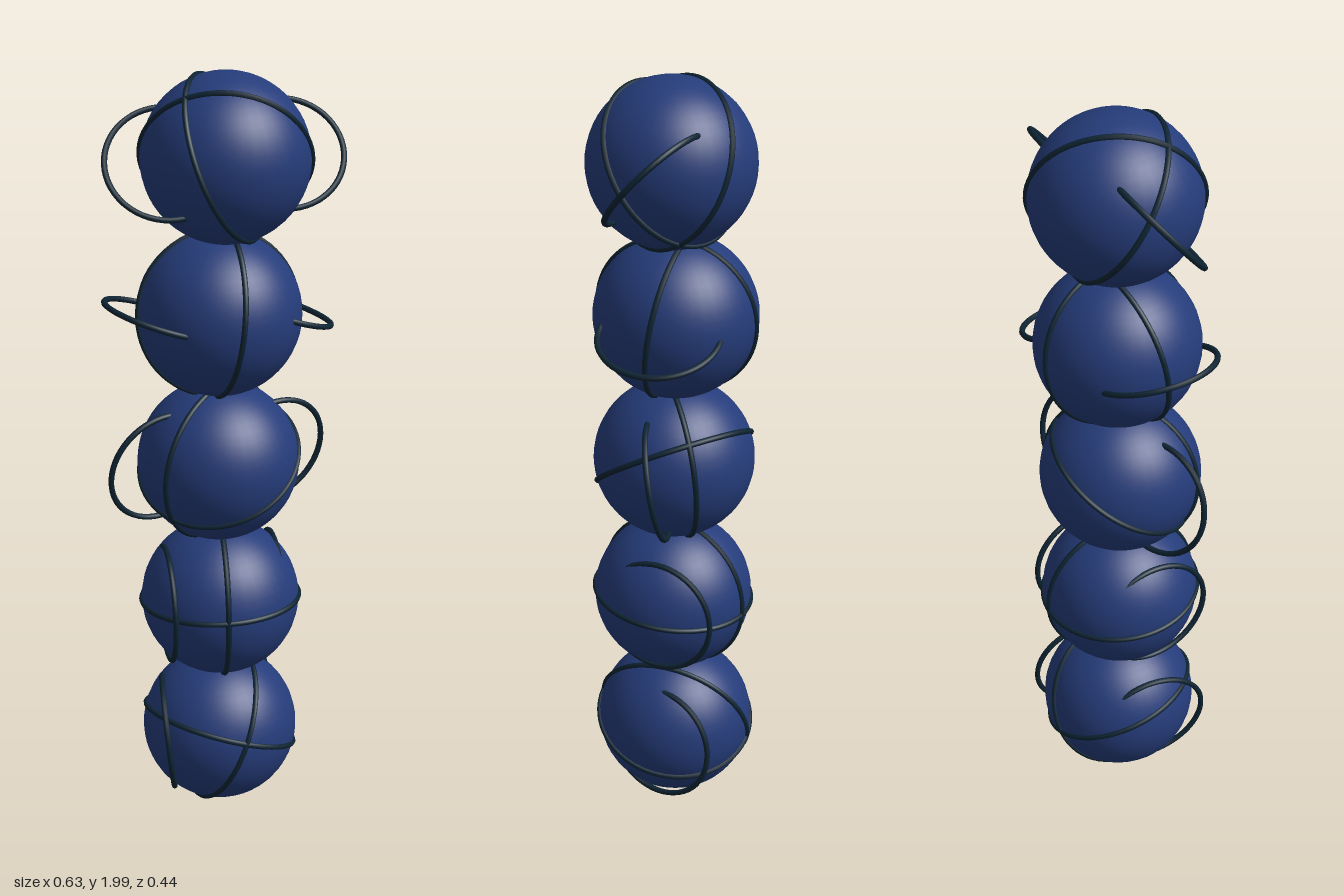
import * as THREE from 'three';

const BALL_R = 0.209, RING_R = 0.209, LOOP_R = 0.151, TUBE = 0.0075;

// Per ball, bottom to top: centre offset, normals of the two seam rings,
// normal shared by the two side loops
const BALLS = [
  { x: -0.006, z: 0.005, seams: [[0.918, -0.39, 0.07], [0.343, 0.92, -0.19]], loop: [0.95, 0.10, 0.28] },
  { x: -0.006, z: 0.01, seams: [[0.97, 0, 0.24], [0, 0.995, -0.1]], loop: [0.98, 0, 0.17] },
  { x: -0.01, z: 0.008, seams: [[0.37, -0.83, -0.42], [0.515, -0.076, 0.853]], loop: [0.18, -0.18, 0.96] },
  { x: -0.006, z: 0.002, seams: [[0.97, -0.12, 0.06], [0.058, -0.148, -0.97]], loop: [0.33, 0.94, -0.03] },
  { x: 0.009, z: 0.009, seams: [[0.743, 0.37, 0.557], [0.345, 0.52, -0.78]], loop: [-0.18, 0.66, 0.73] },
];

export function createModel() {
  const navy = new THREE.MeshStandardMaterial({ color: 0x253c7a });
  navy.name = 'navy';
  const ink = new THREE.MeshStandardMaterial({ color: 0x0e2433 });
  ink.name = 'dark teal';

  const ballGeo = new THREE.SphereGeometry(BALL_R, 40, 28);
  const ringGeo = new THREE.TorusGeometry(RING_R, TUBE, 8, 64);
  const loopGeo = new THREE.TorusGeometry(LOOP_R, TUBE, 8, 56);
  const zAxis = new THREE.Vector3(0, 0, 1);

  // Torus turned so that its axis follows the given normal
  const hoop = (name, geo, normal, x = 0) => {
    const mesh = new THREE.Mesh(geo, ink);
    mesh.name = name;
    mesh.position.x = x;
    mesh.quaternion.setFromUnitVectors(zAxis, new THREE.Vector3(...normal).normalize());
    return mesh;
  };

  const model = new THREE.Group();
  model.name = 'ballStack';
  BALLS.forEach(({ x, z, seams, loop }, i) => {
    const group = new THREE.Group();
    group.name = `ball${i + 1}`;
    group.position.set(x, 0.213 + i * 0.394, z);

    const ball = new THREE.Mesh(ballGeo, navy);
    ball.name = 'ballBody';
    group.add(ball);

    // Great-circle seams
    seams.forEach((n, k) => group.add(hoop(`seamRing${k + 1}`, ringGeo, n)));

    // Side loops, half sunk into the ball
    group.add(hoop('leftLoop', loopGeo, loop, 0.149));
    group.add(hoop('rightLoop', loopGeo, loop, -0.149));
    model.add(group);
  });
  return model;
}
